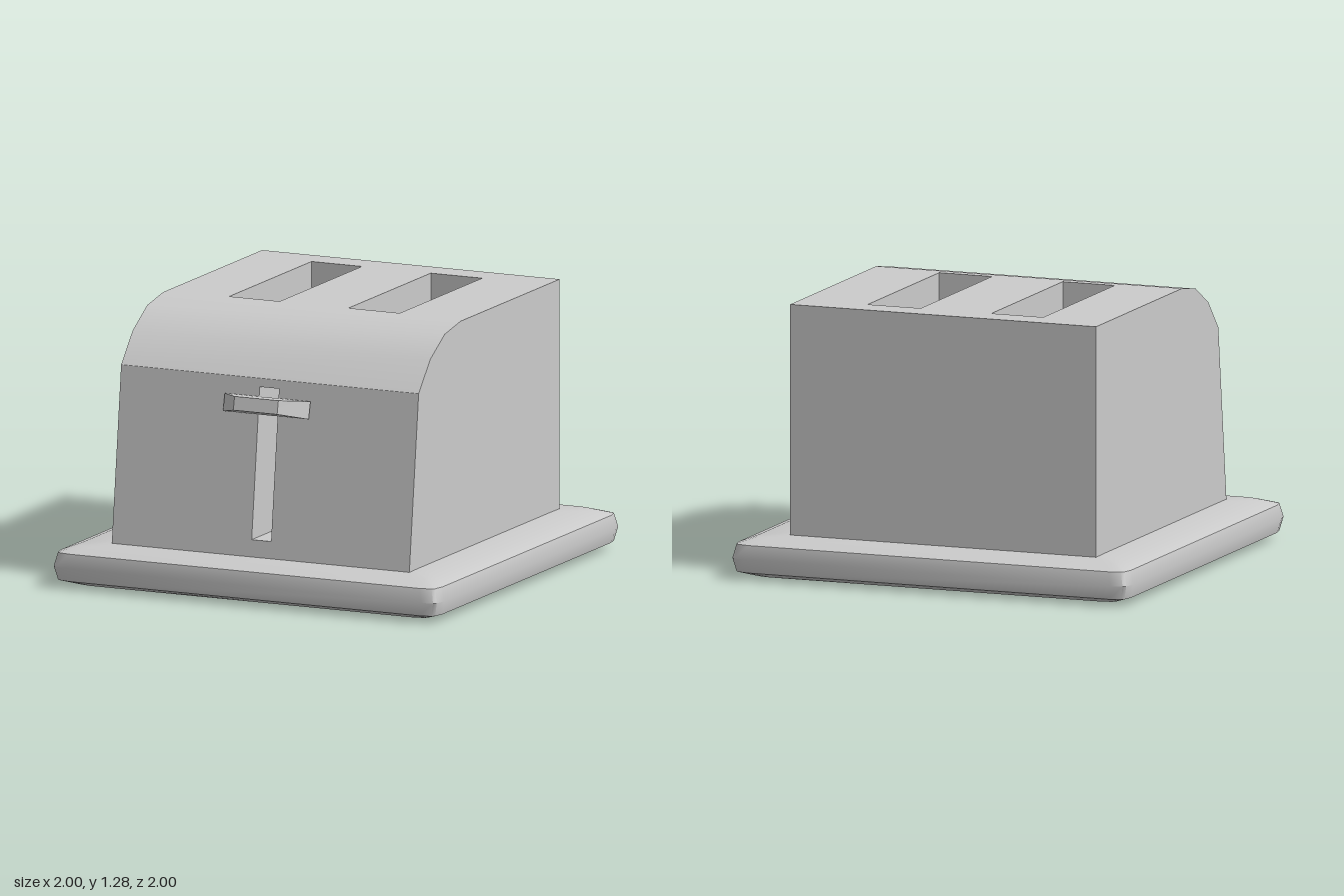
import * as THREE from 'three';
import { toCreasedNormals } from 'three/addons/utils/BufferGeometryUtils.js';

const X0 = -0.77, X1 = 0.765, BACK = -0.81, TOP = 1.29, FOOT = 0.19;
// Curved shoulder as [z, y], from the front panel up to the flat top
const SHOULDER = [[0.705, 1.03], [0.58, 1.17], [0.425, 1.26], [0.255, TOP]];
const SLOTS = [[-0.45, -0.19], [0.165, 0.43]];
const SLOT_Z = [-0.675, 0.21];
const GROOVE = { x: [-0.053, 0.047], y: [0.28, 0.99], back: 0.3 };
const frontZ = (y) => 0.805 - (y - 0.2) * 0.1205;

const material = new THREE.MeshStandardMaterial({ color: 0xcccccc });

function add(group, name, geometry) {
  const mesh = new THREE.Mesh(geometry, material);
  mesh.name = name;
  group.add(mesh);
  return mesh;
}

function rect(Type, x0, x1, y0, y1) {
  return new Type([[x0, y0], [x1, y0], [x1, y1], [x0, y1]].map((p) => new THREE.Vector2(...p)));
}

// Move every vertex by a rule
function reshape(geometry, rule) {
  const pos = geometry.attributes.position;
  const v = new THREE.Vector3();
  for (let i = 0; i < pos.count; i++) {
    rule(v.fromBufferAttribute(pos, i));
    pos.setXYZ(i, v.x, v.y, v.z);
  }
  geometry.computeVertexNormals();
  return geometry;
}

// Inward-facing box with one face left open (2 = top, 4 = front)
function well([x0, x1], [y0, y1], [z0, z1], openFace) {
  const g = new THREE.BoxGeometry(x1 - x0, y1 - y0, z1 - z0);
  const index = Array.from(g.index.array);
  index.splice(openFace * 6, 6);
  g.setIndex(index.reverse());
  g.clearGroups();
  g.translate((x0 + x1) / 2, (y0 + y1) / 2, (z0 + z1) / 2);
  g.computeVertexNormals();
  return g;
}

// Rounded slab lofted through square rings with clipped corners
function baseGeometry() {
  const rings = [[0.7, 0.005], [0.91, 0.012], [0.985, 0.04], [1, 0.105], [0.985, 0.17], [0.91, 0.197], [0.7, 0.203]];
  const positions = [], index = [];
  for (const [h, y] of rings) {
    const corner = [[h, h - 0.08], [h - 0.012, h - 0.025], [h - 0.025, h - 0.012], [h - 0.08, h]];
    for (let q = 0; q < 4; q++) {
      const c = Math.round(Math.cos(q * Math.PI / 2)), s = Math.round(Math.sin(q * Math.PI / 2));
      for (const [x, z] of corner) positions.push(x * c - z * s, y, x * s + z * c);
    }
  }
  const n = 16, last = (rings.length - 1) * n;
  for (let r = 0; r < rings.length - 1; r++) {
    for (let i = 0; i < n; i++) {
      const a = r * n + i, b = r * n + (i + 1) % n;
      index.push(a, a + n, b, b, a + n, b + n);
    }
  }
  for (let i = 1; i < n - 1; i++) {
    index.push(0, i, i + 1, last, last + i + 1, last + i);
  }
  const g = new THREE.BufferGeometry();
  g.setAttribute('position', new THREE.Float32BufferAttribute(positions, 3));
  g.setIndex(index);
  return toCreasedNormals(g, 0.6);
}

function buildBody() {
  const body = new THREE.Group();
  body.name = 'body';

  // Side walls cut from the profile
  for (const side of [-1, 1]) {
    const outline = [[frontZ(FOOT), FOOT], ...SHOULDER, [BACK, TOP], [BACK, FOOT]];
    const shape = new THREE.Shape(outline.map(([z, y]) => new THREE.Vector2(-side * z, y)));
    const wall = new THREE.ShapeGeometry(shape).rotateY(side * Math.PI / 2);
    add(body, side < 0 ? 'rightWall' : 'leftWall', wall.translate(side < 0 ? X0 : X1, 0, 0));
  }

  // Back wall
  const back = new THREE.ShapeGeometry(rect(THREE.Shape, -X1, -X0, FOOT, TOP));
  add(body, 'backWall', back.rotateY(Math.PI).translate(0, 0, BACK));

  // Leaning front panel with the lever groove
  const front = rect(THREE.Shape, X0, X1, FOOT, 1.03);
  front.holes.push(rect(THREE.Path, ...GROOVE.x, ...GROOVE.y));
  add(body, 'frontPanel', reshape(new THREE.ShapeGeometry(front), (v) => { v.z = frontZ(v.y); }));
  const groove = well(GROOVE.x, GROOVE.y, [GROOVE.back, 1], 4);
  add(body, 'leverGroove', reshape(groove, (v) => { if (v.z > 0.9) v.z = frontZ(v.y); }));

  // Smooth shoulder bending from the front panel into the top
  const steps = SHOULDER.length - 1;
  const shoulder = reshape(new THREE.PlaneGeometry(2, steps, 1, steps), (v) => {
    const [z, y] = SHOULDER[Math.round(v.y + steps / 2)];
    v.set(v.x < 0 ? X0 : X1, y, z);
  });
  for (let i = 0; i < 2; i++) shoulder.attributes.normal.setXYZ(i, 0, 1, 0);
  add(body, 'shoulder', shoulder);

  // Flat top with the two bread slots
  const top = rect(THREE.Shape, X0, X1, -0.255, -BACK);
  for (const slot of SLOTS) {
    top.holes.push(rect(THREE.Path, ...slot, -SLOT_Z[1], -SLOT_Z[0]));
    add(body, 'breadSlot', well(slot, [0.45, TOP], SLOT_Z, 2));
  }
  add(body, 'topPanel', new THREE.ShapeGeometry(top).rotateX(-Math.PI / 2).translate(0, TOP, 0));
  return body;
}

// Tilted lever handle, narrower towards the front
function leverGeometry() {
  const g = new THREE.BoxGeometry(2, 2, 2);
  return reshape(g, (v) => {
    const halfWidth = v.z > 0 ? 0.113 : 0.221;
    const [z, y] = v.z > 0
      ? (v.y > 0 ? [0.848, 0.965] : [0.862, 0.902])
      : (v.y > 0 ? [0.728, 0.948] : [0.748, 0.867]);
    v.set(-0.003 + v.x * halfWidth, y, z);
  });
}

export function createModel() {
  const model = new THREE.Group();
  model.name = 'toaster';
  add(model, 'base', baseGeometry());
  model.add(buildBody());
  add(model, 'lever', leverGeometry());
  return model;
}
